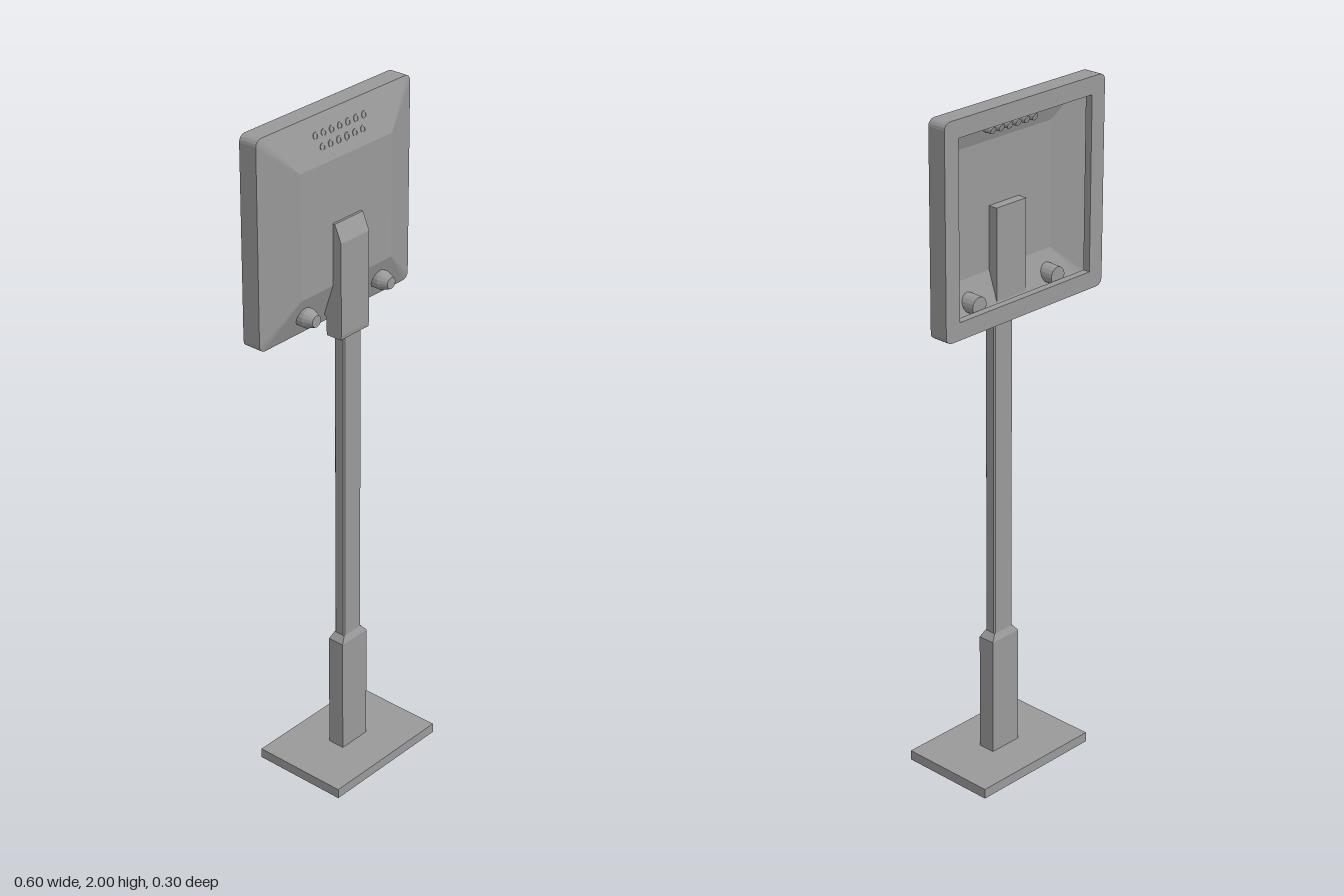
import * as THREE from 'three';

const material = new THREE.MeshStandardMaterial({ color: 0x999999, flatShading: true });
const HEAD_Y = 1.7, FACE_Z = -0.003, SLOPE = 0.04 / 0.12, WALL = 0.015;

// Depth of the sloping front at a given distance from the head's centre
const slopeZ = (r) => FACE_Z - (r - 0.18) * SLOPE;

function add(parent, name, geometry, x = 0, y = 0, z = 0) {
  const mesh = new THREE.Mesh(geometry, material);
  mesh.name = name;
  mesh.position.set(x, y, z);
  parent.add(mesh);
}

const outline = (points) => new THREE.Shape(points.map(([x, y]) => new THREE.Vector2(x, y)));

// Square outline with rounded corners, counterclockwise from the right
function ring(half, radius, z) {
  const points = [];
  for (let corner = 0; corner < 4; corner++) {
    const mid = (corner + 0.5) * Math.PI / 2;
    const cx = Math.sign(Math.cos(mid)) * (half - radius);
    const cy = Math.sign(Math.sin(mid)) * (half - radius);
    for (let i = 0; i <= 4; i++) {
      const a = (corner + i / 4) * Math.PI / 2;
      points.push([cx + radius * Math.cos(a), cy + radius * Math.sin(a), z]);
    }
  }
  return points;
}

// Joins a row of rings into a skin
function skin(rings) {
  const positions = [];
  for (let s = 0; s < rings.length - 1; s++) {
    const a = rings[s], b = rings[s + 1], n = a.length;
    for (let i = 0; i < n; i++) {
      const j = (i + 1) % n;
      positions.push(...a[i], ...b[i], ...b[j], ...a[i], ...b[j], ...a[j]);
    }
  }
  const geometry = new THREE.BufferGeometry();
  geometry.setAttribute('position', new THREE.Float32BufferAttribute(positions, 3));
  geometry.computeVertexNormals();
  return geometry;
}

// Small tube through the slope, its ends cut parallel to the slope
function ventTube() {
  const profile = [[0.006, -0.002], [0.006, 0.002], [0.01, 0.002], [0.01, -0.04], [0, -0.04]];
  return skin(profile.map(([r, z]) => ring(r, r, z).map(([x, y, d]) => [x, y, d - y * SLOPE])));
}

// Rectangular bar with chamfered long edges, standing upright
function chamferedBar(hx, hz, c, height) {
  const shape = outline([
    [hx - c, -hz], [hx, c - hz], [hx, hz - c], [hx - c, hz],
    [c - hx, hz], [-hx, hz - c], [-hx, c - hz], [c - hx, -hz],
  ]);
  return new THREE.ExtrudeGeometry(shape, { depth: height, bevelEnabled: false }).rotateX(-Math.PI / 2);
}

export function createModel() {
  const model = new THREE.Group();
  model.name = 'displayStand';

  // Foot and post
  add(model, 'basePlate', new THREE.BoxGeometry(0.424, 0.03, 0.298), 0, 0.015, 0);
  add(model, 'sleeve', new THREE.BoxGeometry(0.104, 0.36, 0.052), 0, 0.21, 0);
  const collar = new THREE.BoxGeometry(0.104, 0.02, 0.052);
  const p = collar.attributes.position;
  for (let i = 0; i < p.count; i++) {
    if (p.getY(i) > 0) p.setXYZ(i, Math.sign(p.getX(i)) * 0.036, p.getY(i), Math.sign(p.getZ(i)) * 0.018);
  }
  collar.computeVertexNormals();
  add(model, 'sleeveTaper', collar, 0, 0.4, 0);
  add(model, 'post', chamferedBar(0.036, 0.018, 0.004, 0.99), 0, 0.39, 0);

  // Hollow head, open on its rear side behind a square frame
  const head = new THREE.Group();
  head.name = 'head';
  head.position.y = HEAD_Y;
  model.add(head);
  add(head, 'housing', skin([
    ring(0, 0, FACE_Z),
    ring(0.18, 0, FACE_Z),
    ring(0.3, 0.02, slopeZ(0.3)),
    ring(0.3, 0.02, -0.1),
    ring(0.25, 0, -0.1),
    ring(0.25, 0, -0.078),
    ring(0.285, 0.0175, -0.078),
    ring(0.285, 0.0175, slopeZ(0.285) - WALL),
    ring(0.18, 0, FACE_Z - WALL),
    ring(0, 0, FACE_Z - WALL),
  ]));

  // Two staggered rows of vents in the upper slope
  for (const [count, y] of [[7, 0.251], [6, 0.219]]) {
    for (let i = 0; i < count; i++) {
      add(head, 'vent', ventTube(), (i - (count - 1) / 2) * 0.0315, y, slopeZ(y));
    }
  }

  // Tapered knobs that pass through the lower slope
  const profile = [[0, -0.075], [0.026, -0.075], [0.028, -0.004], [0.017, 0.024], [0, 0.024]]
    .map(([x, y]) => new THREE.Vector2(x, y));
  for (const side of [-1, 1]) {
    const knob = new THREE.LatheGeometry(profile, 16).rotateX(Math.PI / 2);
    add(head, side > 0 ? 'leftKnob' : 'rightKnob', knob, side * 0.151, -0.24, 0);
  }

  // Bracket from the post into the head, sloped at the top and deeper inside
  const bracketSide = outline([
    [0.046, 1.7], [-0.004, 1.7], [-0.026, 1.65], [-0.026, 1.38], [-0.024, 1.367],
    [0.024, 1.367], [0.026, 1.38], [0.026, 1.42], [0.046, 1.435],
  ]);
  const bracket = new THREE.ExtrudeGeometry(bracketSide, { depth: 0.112, bevelEnabled: false });
  bracket.translate(0, 0, -0.056).rotateY(Math.PI / 2);
  add(model, 'bracket', bracket);

  return model;
}
